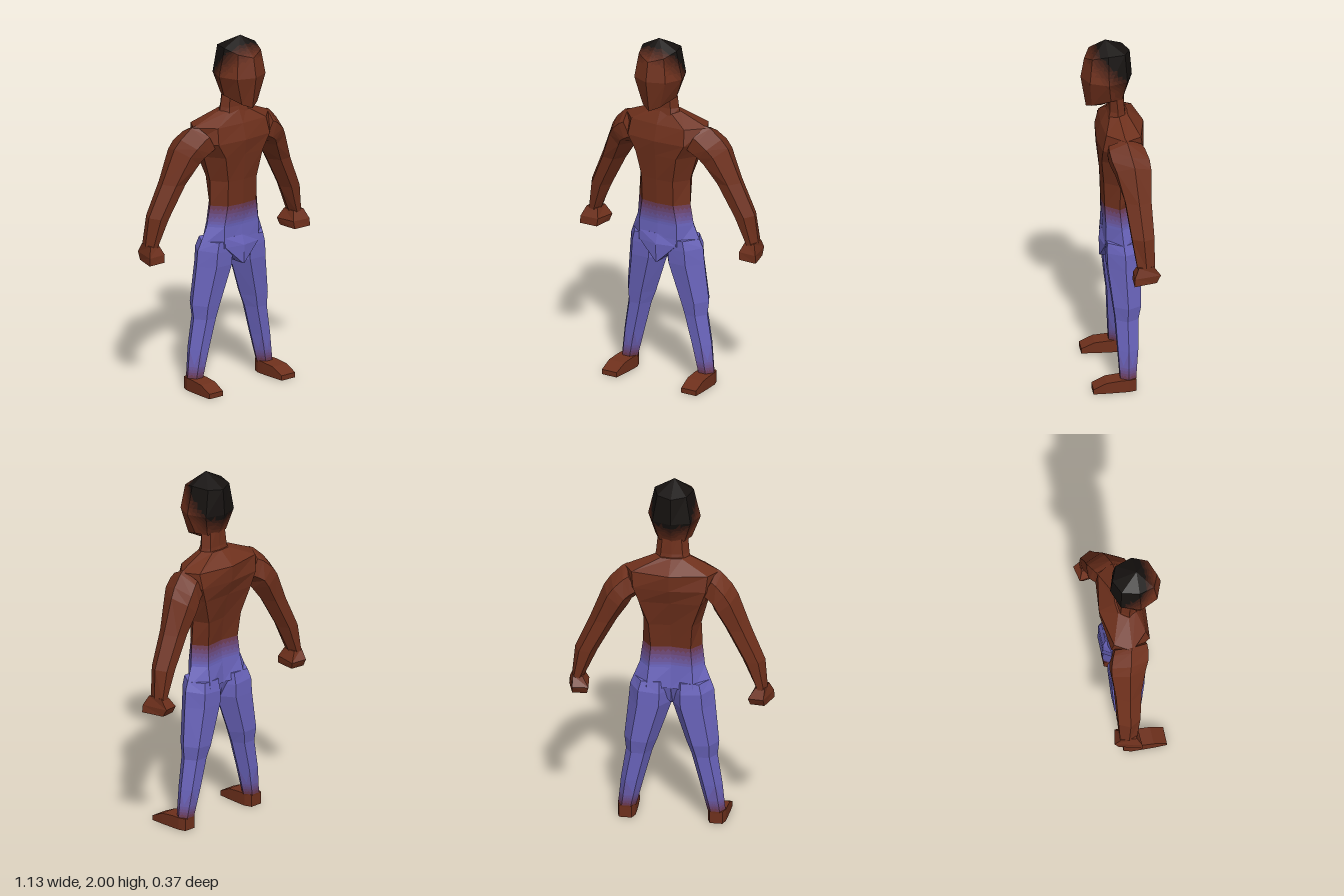
import * as THREE from 'three';

const SKIN = new THREE.Color(0x6e301c);
const CLOTH = new THREE.Color(0x6a64bc);
const HAIR = new THREE.Color(0x15110f);
const LEVELS = 7;

// Triangles of a capped loft through rings of [x, y, z] points, turned to face outwards
function loftTriangles(rings) {
  const tris = [];
  const n = rings[0].length;
  const v = rings.map((r) => r.map((p) => new THREE.Vector3(...p)));
  for (let i = 0; i < v.length - 1; i++) {
    for (let j = 0; j < n; j++) {
      const k = (j + 1) % n;
      tris.push([v[i][j], v[i][k], v[i + 1][k]], [v[i][j], v[i + 1][k], v[i + 1][j]]);
    }
  }
  [v[0], v[v.length - 1]].forEach((ring, end) => {
    const c = ring.reduce((s, p) => s.add(p), new THREE.Vector3()).divideScalar(n);
    for (let j = 0; j < n; j++) {
      const a = ring[j], b = ring[(j + 1) % n];
      tris.push(end ? [a, b, c] : [b, a, c]);
    }
  });
  const cross = new THREE.Vector3();
  const volume = tris.reduce((s, [a, b, c]) => s + a.dot(cross.crossVectors(b, c)), 0);
  return volume < 0 ? tris.map(([a, b, c]) => [a, c, b]) : tris;
}

// Splits a triangle until its tone is nearly even, then sorts it into a tone bucket
function sortByTone(tri, tone, buckets, depth = 0) {
  const t = tri.map((p) => THREE.MathUtils.clamp(tone(p), 0, 1));
  if (Math.max(...t) - Math.min(...t) > 0.2 && depth < 9) {
    const len = [0, 1, 2].map((i) => tri[i].distanceTo(tri[(i + 1) % 3]));
    const i = len.indexOf(Math.max(...len));
    const a = tri[i], b = tri[(i + 1) % 3], c = tri[(i + 2) % 3];
    const m = a.clone().lerp(b, 0.5);
    sortByTone([a, m, c], tone, buckets, depth + 1);
    sortByTone([m, b, c], tone, buckets, depth + 1);
    return;
  }
  const level = Math.round(((t[0] + t[1] + t[2]) / 3) * (LEVELS - 1));
  (buckets[level] ??= []).push(...tri);
}

// A flat-shaded body part whose colour fades from one colour to another
function part(name, rings, from, to = from, tone = () => 0) {
  const group = new THREE.Group();
  group.name = name;
  const buckets = [];
  loftTriangles(rings).forEach((tri) => sortByTone(tri, tone, buckets));
  buckets.forEach((points, level) => {
    const geometry = new THREE.BufferGeometry().setFromPoints(points);
    geometry.computeVertexNormals();
    const color = from.clone().lerp(to, level / (LEVELS - 1));
    const mesh = new THREE.Mesh(geometry, new THREE.MeshStandardMaterial({ color, flatShading: true }));
    mesh.name = `${name}Tone${level}`;
    group.add(mesh);
  });
  return group;
}

// Full ring from the half running front centre -> left side -> back centre
const mirrorRing = (half) => [...half, ...half.slice(1, -1).reverse().map(([x, y, z]) => [-x, y, z])];

// Level symmetric ring: front z, three [x, z] pairs, back z
const level = (y, zf, a, side, b, zb) =>
  mirrorRing([[0, y, zf], ...[a, side, b].map(([x, z]) => [x, y, z]), [0, y, zb]]);

// Six-sided limb ring between an inner and an outer [x, y] point
function limbRing([x0, y0], [x1, y1], zf, zb) {
  const mid = (zf + zb) / 2;
  return [[0, mid], [0.27, zf], [0.72, zf], [1, mid], [0.75, zb], [0.25, zb]]
    .map(([s, z]) => [x0 + (x1 - x0) * s, y0 + (y1 - y0) * s, z]);
}

// Four-cornered ring across a foot
const footRing = (z, h, x0, x1) => [[x0, 0, z], [x1, 0, z], [x1, h, z], [x0, h, z]];

export function createModel() {
  const model = new THREE.Group();
  model.name = 'figure';

  // Torso with the top of the trousers fading in at the waist
  model.add(part('torso', [
    level(0.80, 0.07, [0.12, 0.062], [0.228, -0.03], [0.13, -0.12], -0.09),
    level(0.92, 0.065, [0.12, 0.06], [0.18, -0.02], [0.12, -0.095], -0.08),
    level(1.04, 0.075, [0.10, 0.065], [0.165, -0.01], [0.11, -0.085], -0.07),
    level(1.18, 0.08, [0.10, 0.07], [0.16, -0.015], [0.12, -0.10], -0.09),
    level(1.325, 0.09, [0.13, 0.085], [0.20, -0.02], [0.17, -0.125], -0.125),
    level(1.41, 0.10, [0.18, 0.085], [0.26, -0.04], [0.20, -0.135], -0.155),
    level(1.50, 0.075, [0.17, 0.065], [0.265, -0.03], [0.21, -0.12], -0.16),
    level(1.57, 0.04, [0.06, 0.03], [0.10, -0.015], [0.06, -0.065], -0.07),
  ], SKIN, CLOTH, (p) => (1.05 - p.y) / 0.13));

  // Wedge between the legs
  model.add(part('crotch', [
    level(0.86, 0.068, [0.12, 0.06], [0.15, 0], [0.1, -0.08], -0.08),
    level(0.805, 0.085, [0.115, 0.065], [0.13, 0], [0.1, -0.09], -0.09),
    level(0.70, 0.083, [0.006, 0.08], [0.008, 0.03], [0.006, -0.05], -0.06),
  ], CLOTH));

  // Neck
  model.add(part('neck', [
    level(1.55, 0.045, [0.07, 0.04], [0.10, -0.01], [0.07, -0.055], -0.065),
    level(1.59, 0.035, [0.06, 0.03], [0.092, -0.01], [0.06, -0.05], -0.055),
    level(1.72, 0.03, [0.05, 0.03], [0.08, 0], [0.05, -0.04], -0.05),
  ], SKIN));

  // Head, with hair over the crown and back
  model.add(part('head', [
    mirrorRing([[0, 1.605, 0.08], [0.03, 1.62, 0.075], [0.06, 1.66, 0.02], [0.04, 1.66, -0.02], [0, 1.66, -0.03]]),
    mirrorRing([[0, 1.605, 0.155], [0.055, 1.63, 0.13], [0.10, 1.668, 0.03], [0.07, 1.665, -0.035], [0, 1.66, -0.05]]),
    level(1.785, 0.185, [0.10, 0.145], [0.145, 0.045], [0.105, -0.06], -0.097),
    mirrorRing([[0, 1.895, 0.165], [0.08, 1.92, 0.13], [0.108, 1.942, 0.045], [0.08, 1.937, -0.05], [0, 1.93, -0.085]]),
    Array(8).fill([0, 2, 0.05]),
  ], SKIN, HAIR, (p) => 6 * (p.y - 1.81) + 7 * (0.1 - p.z)));

  const limbs = {
    Arm: () => part('arm', [
      limbRing([0.16, 1.34], [0.25, 1.51], 0.06, -0.12),
      limbRing([0.20, 1.32], [0.275, 1.497], 0.06, -0.135),
      limbRing([0.22, 1.31], [0.335, 1.44], 0.05, -0.155),
      limbRing([0.24, 1.275], [0.37, 1.39], 0.03, -0.16),
      limbRing([0.297, 1.195], [0.445, 1.2], -0.01, -0.152),
      limbRing([0.40, 1.01], [0.525, 1.02], -0.035, -0.157),
      limbRing([0.475, 0.85], [0.54, 0.86], -0.06, -0.155),
    ], SKIN),
    Hand: () => part('hand', [
      [[0.475, 0.86, -0.07], [0.54, 0.865, -0.065], [0.53, 0.865, -0.15], [0.475, 0.86, -0.15]],
      [[0.455, 0.81, -0.045], [0.563, 0.81, -0.04], [0.527, 0.81, -0.188], [0.44, 0.805, -0.17]],
      [[0.46, 0.767, -0.04], [0.567, 0.767, -0.038], [0.53, 0.767, -0.165], [0.45, 0.767, -0.155]],
    ], SKIN),
    // Trouser leg fading to skin at the ankle
    Leg: () => part('leg', [
      limbRing([0.01, 0.84], [0.21, 0.84], 0.058, -0.11),
      limbRing([0, 0.77], [0.232, 0.79], 0.06, -0.125),
      limbRing([0, 0.70], [0.24, 0.70], 0.057, -0.125),
      limbRing([0.08, 0.47], [0.262, 0.48], 0.03, -0.12),
      limbRing([0.107, 0.40], [0.253, 0.40], 0.02, -0.105),
      limbRing([0.153, 0.23], [0.28, 0.23], 0.01, -0.10),
      limbRing([0.197, 0.06], [0.297, 0.06], 0, -0.085),
    ], SKIN, CLOTH, (p) => (p.y - 0.06) / 0.1),
    Foot: () => part('foot', [
      footRing(-0.085, 0.07, 0.215, 0.285),
      footRing(-0.045, 0.07, 0.2, 0.298),
      footRing(0, 0.07, 0.2, 0.3),
      footRing(0.08, 0.062, 0.203, 0.303),
      footRing(0.153, 0.028, 0.208, 0.303),
    ], SKIN),
  };

  // Mirrored limbs
  for (const [side, sign] of [['left', 1], ['right', -1]]) {
    for (const [name, build] of Object.entries(limbs)) {
      const limb = build();
      limb.name = side + name;
      limb.scale.x = sign;
      model.add(limb);
    }
  }
  return model;
}
